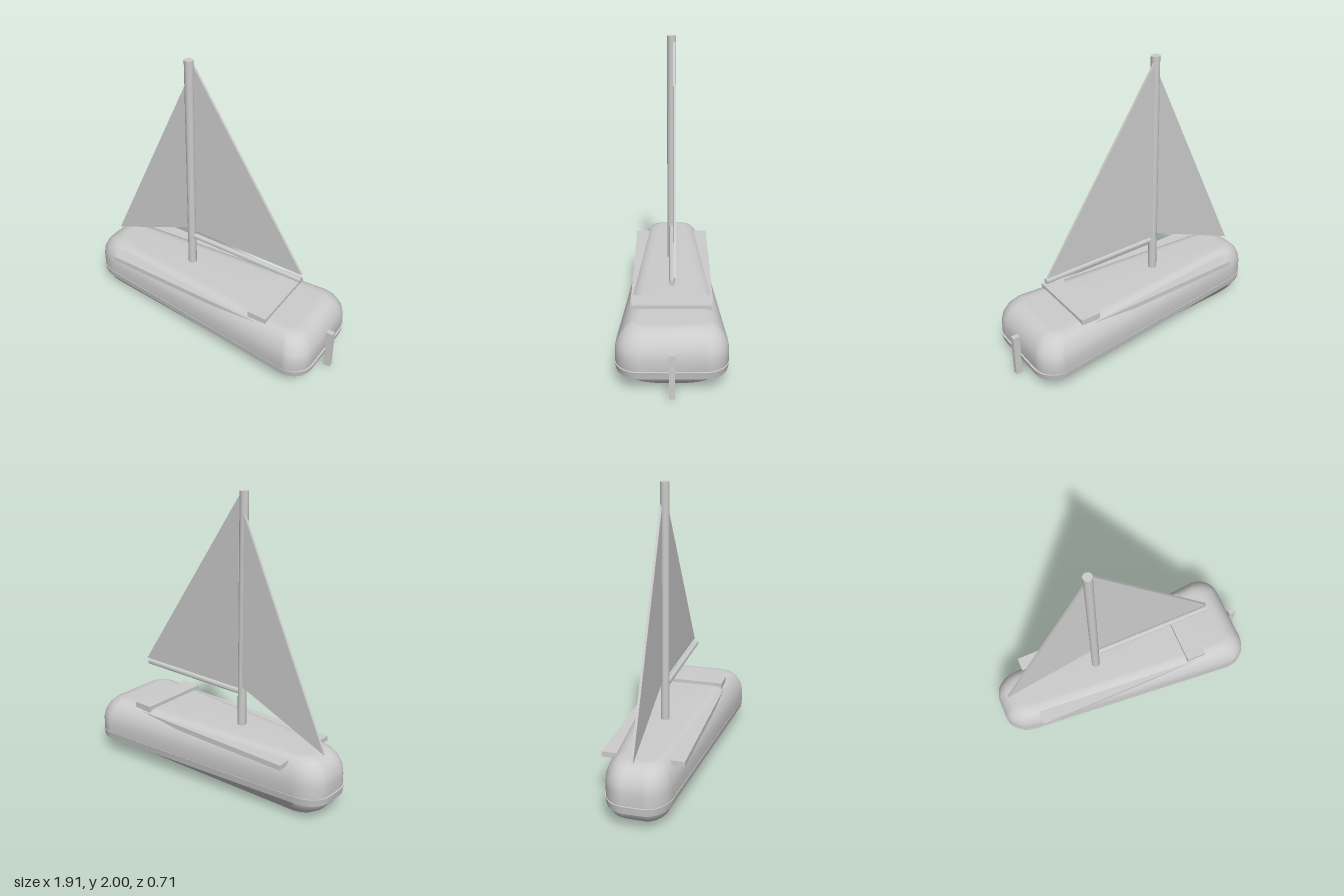
import * as THREE from 'three';
import { toCreasedNormals } from 'three/addons/utils/BufferGeometryUtils.js';

const SEG = 8;

// Rounded trapezoid outline: bow end, stern end, half widths, corner radius
function ring([y, bow, stern, wBow, wStern, r]) {
  const corners = [[stern - r, wStern - r, r], [bow + 1.3 * r, wBow - r, 1.3 * r],
    [bow + 1.3 * r, r - wBow, 1.3 * r], [stern - r, r - wStern, r]];
  const pts = [];
  corners.forEach(([x, z, rx], c) => {
    for (let i = 0; i <= SEG; i++) {
      const a = (c + i / SEG) * Math.PI / 2;
      pts.push(x + rx * Math.cos(a), y, z + r * Math.sin(a));
    }
  });
  return pts;
}

// Closed loft through outlines stacked from bottom to top
function loft(levels) {
  const pos = levels.flatMap(ring), n = 4 * (SEG + 1), idx = [];
  const last = (levels.length - 1) * n, c = levels.length * n;
  pos.push(0, levels[0][0], 0, 0, levels[levels.length - 1][0], 0);
  for (let i = 0; i < n; i++) {
    const k = (i + 1) % n;
    for (let b = 0; b < last; b += n) {
      idx.push(b + i, b + n + i, b + k, b + k, b + n + i, b + n + k);
    }
    idx.push(c, i, k, c + 1, last + k, last + i);
  }
  const g = new THREE.BufferGeometry();
  g.setAttribute('position', new THREE.Float32BufferAttribute(pos, 3));
  g.setIndex(idx);
  g.computeVertexNormals();
  return g;
}

export function createModel() {
  const boat = new THREE.Group();
  boat.name = 'sailboat';
  const grey = new THREE.MeshStandardMaterial({ color: 0xcccccc });
  grey.name = 'light grey';

  const add = (name, geometry, x = 0, y = 0, z = 0) => {
    const mesh = new THREE.Mesh(geometry, grey);
    mesh.name = name;
    mesh.position.set(x, y, z);
    boat.add(mesh);
    return mesh;
  };

  // Soft rounded hull, wider at the stern
  add('hull', loft([
    [0.005, -0.74, 0.72, 0.1, 0.14, 0.05],
    [0.012, -0.79, 0.755, 0.12, 0.16, 0.07],
    [0.035, -0.85, 0.81, 0.15, 0.195, 0.1],
    [0.075, -0.905, 0.86, 0.18, 0.255, 0.12],
    [0.13, -0.94, 0.895, 0.207, 0.335, 0.14],
    [0.18, -0.947, 0.91, 0.215, 0.351, 0.15],
    [0.26, -0.947, 0.91, 0.215, 0.351, 0.15],
    [0.31, -0.94, 0.9, 0.21, 0.342, 0.145],
    [0.36, -0.915, 0.875, 0.193, 0.316, 0.13],
    [0.395, -0.88, 0.84, 0.168, 0.285, 0.11],
    [0.415, -0.835, 0.795, 0.135, 0.25, 0.08],
    [0.42, -0.79, 0.75, 0.1, 0.21, 0.05],
  ]));

  // Rubbing strake around the hull
  add('rubRail', toCreasedNormals(loft([
    [0.13, -0.95, 0.912, 0.21, 0.345, 0.15],
    [0.18, -0.957, 0.922, 0.219, 0.354, 0.155],
  ]), 0.6));

  // Side planks, thwart and rudder
  for (const s of [-1, 1]) {
    add(s > 0 ? 'leftSidePlank' : 'rightSidePlank', new THREE.BoxGeometry(1.5, 0.035, 0.1), 0.04, 0.378, s * 0.217);
  }
  add('seat', new THREE.BoxGeometry(0.14, 0.045, 0.51), 0.505, 0.422, 0);
  add('rudder', new THREE.BoxGeometry(0.047, 0.3, 0.035), 0.934, 0.17, 0);

  // Mast and boom
  add('mast', toCreasedNormals(new THREE.CylinderGeometry(0.03, 0.03, 1.6, 12), 0.7), -0.193, 1.2, 0);
  const boom = add('boom', toCreasedNormals(new THREE.CylinderGeometry(0.019, 0.019, 0.86, 12), 0.7), 0.25, 0.655, 0);
  boom.rotation.z = Math.PI / 2;

  // Thin triangular sails
  const sail = (name, points) => {
    const shape = new THREE.Shape(points.map(([x, y]) => new THREE.Vector2(x, y)));
    add(name, new THREE.ExtrudeGeometry(shape, { depth: 0.016, bevelEnabled: false }), 0, 0, -0.026);
  };
  sail('mainSail', [[-0.17, 0.69], [0.68, 0.69], [-0.17, 1.965]]);
  sail('jib', [[-0.875, 0.425], [-0.21, 0.705], [-0.21, 1.865]]);

  return boat;
}
